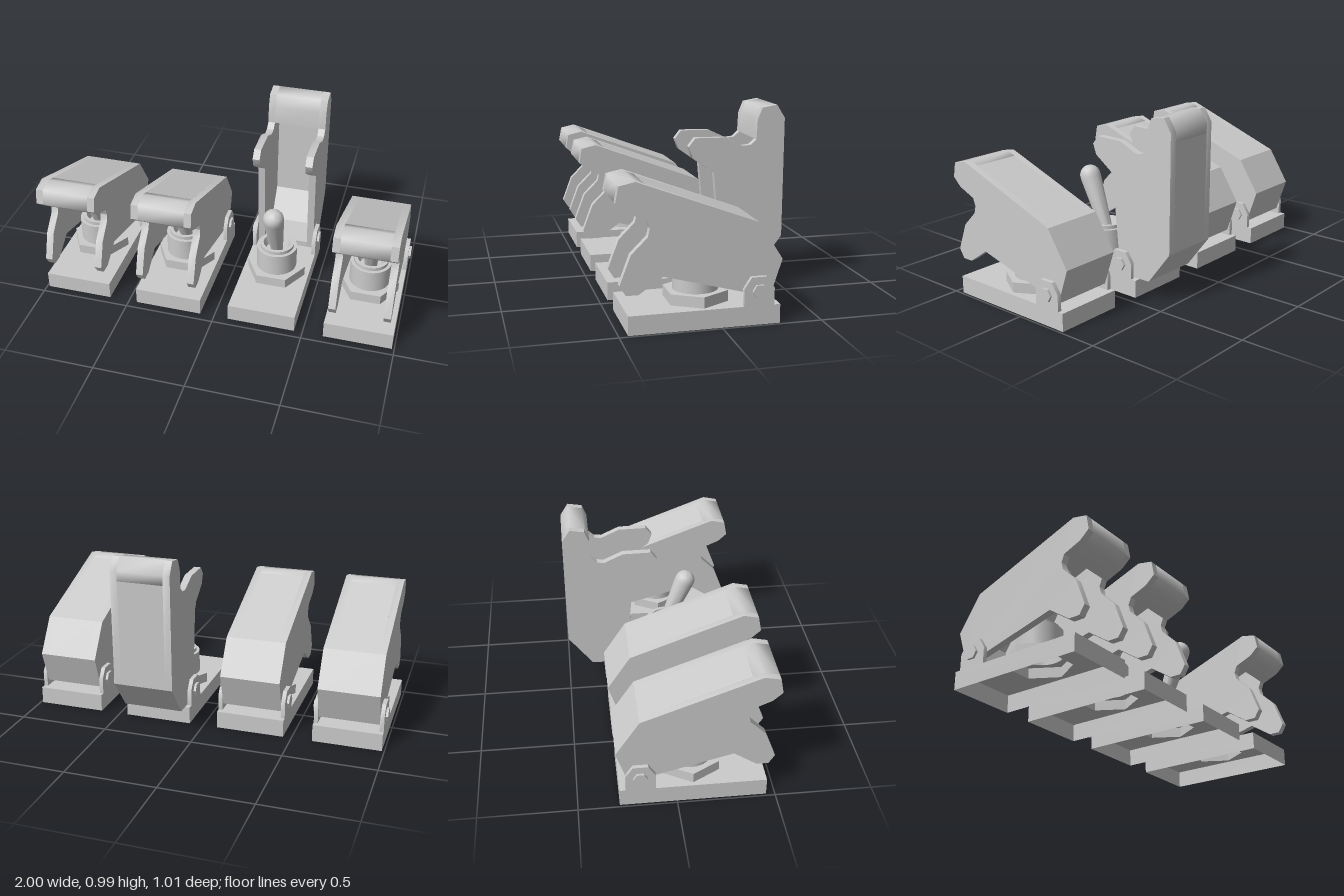
import * as THREE from 'three';
import { toCreasedNormals } from 'three/addons/utils/BufferGeometryUtils.js';

const material = new THREE.MeshStandardMaterial({ color: 0xcccccc, side: THREE.DoubleSide });
const NUT_Z = 0.083;
const PIN = { y: 0.167, z: -0.185 };

function mesh(name, geometry, crease = 0.6) {
  const m = new THREE.Mesh(toCreasedNormals(geometry, crease), material);
  m.name = name;
  return m;
}

// Plate with a [z, y] outline, spanning x0..x1
function plate(points, x0, x1) {
  const shape = new THREE.Shape(points.map(([z, y]) => new THREE.Vector2(z, y)));
  const g = new THREE.ExtrudeGeometry(shape, { depth: x1 - x0, bevelEnabled: false });
  return g.rotateY(-Math.PI / 2).translate(x1, 0, 0);
}

function ring(radius, sides) {
  return Array.from({ length: sides }, (_, i) => {
    const a = (i / sides) * Math.PI * 2;
    return new THREE.Vector2(Math.cos(a) * radius, NUT_Z + Math.sin(a) * radius);
  });
}

// Shell open below: walls along an [x, z] outline and a lid with a hole
function shell(name, outline, hole, y0, y1) {
  const group = new THREE.Group();
  group.name = name;
  const pos = [];
  outline.forEach((a, i) => {
    const b = outline[(i + 1) % outline.length];
    pos.push(a.x, y0, a.y, a.x, y1, a.y, b.x, y1, b.y);
    pos.push(a.x, y0, a.y, b.x, y1, b.y, b.x, y0, b.y);
  });
  const walls = new THREE.BufferGeometry();
  walls.setAttribute('position', new THREE.Float32BufferAttribute(pos, 3));
  // Lid is drawn with y = -z, then laid flat facing up
  const flip = (pts) => pts.map((p) => new THREE.Vector2(p.x, -p.y));
  const shape = new THREE.Shape(flip(outline));
  shape.holes.push(new THREE.Path(flip(hole)));
  const lid = new THREE.ShapeGeometry(shape).rotateX(-Math.PI / 2).translate(0, y1, 0);
  group.add(mesh(name + 'Walls', walls), mesh(name + 'Lid', lid));
  return group;
}

const lathe = (pts, n) => new THREE.LatheGeometry(pts.map(([r, y]) => new THREE.Vector2(r, y)), n);

// Cover outlines, relative to the hinge pin
const fromPin = (pts) => pts.map(([z, y]) => [z - PIN.z, y - PIN.y]);
const cheek = fromPin([
  [-0.243, 0.127], [0.283, 0.267], [0.4, 0.187], [0.46, 0.187], [0.49, 0.235], [0.435, 0.38],
  [0.355, 0.46], [0.345, 0.5], [0.36, 0.54], [0.455, 0.58], [0.505, 0.625], [0.49, 0.705],
  [0.41, 0.722], [-0.185, 0.5], [-0.305, 0.313],
]);
const lip = fromPin([
  [0.36, 0.54], [0.455, 0.58], [0.505, 0.625], [0.49, 0.705], [0.41, 0.722], [0.36, 0.7034],
]);
const spine = fromPin([
  [0.36, 0.666], [0.36, 0.7034], [-0.185, 0.5], [-0.305, 0.313], [-0.243, 0.127],
  [-0.21, 0.138], [-0.267, 0.308], [-0.163, 0.471],
]);
const ear = [
  [-0.108, 0.095], [-0.108, 0.18], [-0.145, 0.237], [-0.222, 0.237], [-0.26, 0.18], [-0.26, 0.095],
];

function createCover(open) {
  const cover = new THREE.Group();
  cover.name = 'cover';
  cover.add(mesh('coverSpine', plate(spine, -0.126, 0.126), 0.3));
  cover.add(mesh('coverLip', plate(lip, -0.126, 0.126), 1.25));
  cover.add(mesh('rightCheek', plate(cheek, -0.165, -0.126)));
  cover.add(mesh('leftCheek', plate(cheek, 0.126, 0.165)));
  cover.position.set(0, PIN.y, PIN.z);
  cover.rotation.x = open ? THREE.MathUtils.degToRad(-70) : 0;
  return cover;
}

function createSwitch(open) {
  const unit = new THREE.Group();

  // Hollow base and hexagonal nut
  const baseOutline = [[-0.187, -0.29], [0.187, -0.29], [0.187, 0.455], [-0.187, 0.455]]
    .map(([x, z]) => new THREE.Vector2(x, z));
  unit.add(shell('base', baseOutline, ring(0.165, 6), 0, 0.095));
  unit.add(shell('nut', ring(0.165, 6), ring(0.113, 32), 0.095, 0.15));

  // Stepped collar with a recessed top
  const collar = mesh('collar', lathe([
    [0.113, 0.15], [0.113, 0.277], [0.095, 0.277], [0.095, 0.297],
    [0.076, 0.297], [0.06, 0.25], [0, 0.25],
  ], 32));
  collar.position.z = NUT_Z;
  unit.add(collar);

  // Tapered lever with a rounded tip
  const profile = [[0.034, 0], [0.057, 0.3]];
  for (let i = 1; i <= 6; i++) {
    const a = (i / 6) * Math.PI / 2;
    profile.push([0.057 * Math.cos(a), 0.31 + 0.057 * Math.sin(a)]);
  }
  const lever = mesh('lever', lathe(profile, 24));
  lever.position.set(0, 0.25, NUT_Z);
  lever.rotation.x = THREE.MathUtils.degToRad(22);
  unit.add(lever);

  // Hinge ears and pin heads
  for (const [side, s] of [['left', 1], ['right', -1]]) {
    unit.add(mesh(side + 'HingeEar', plate(ear, s > 0 ? 0.165 : -0.187, s > 0 ? 0.187 : -0.165)));
    const pin = mesh(side + 'HingePin', new THREE.CylinderGeometry(0.037, 0.037, 0.035, 6).rotateZ(Math.PI / 2));
    pin.position.set(s * 0.1825, PIN.y, PIN.z);
    unit.add(pin);
  }

  unit.add(createCover(open));
  return unit;
}

export function createModel() {
  const model = new THREE.Group();
  model.name = 'guardedSwitches';
  for (let i = 0; i < 4; i++) {
    const unit = createSwitch(i === 2);
    unit.name = 'switch' + (i + 1);
    unit.position.x = -0.8 + i * (1.6 / 3);
    model.add(unit);
  }
  return model;
}
